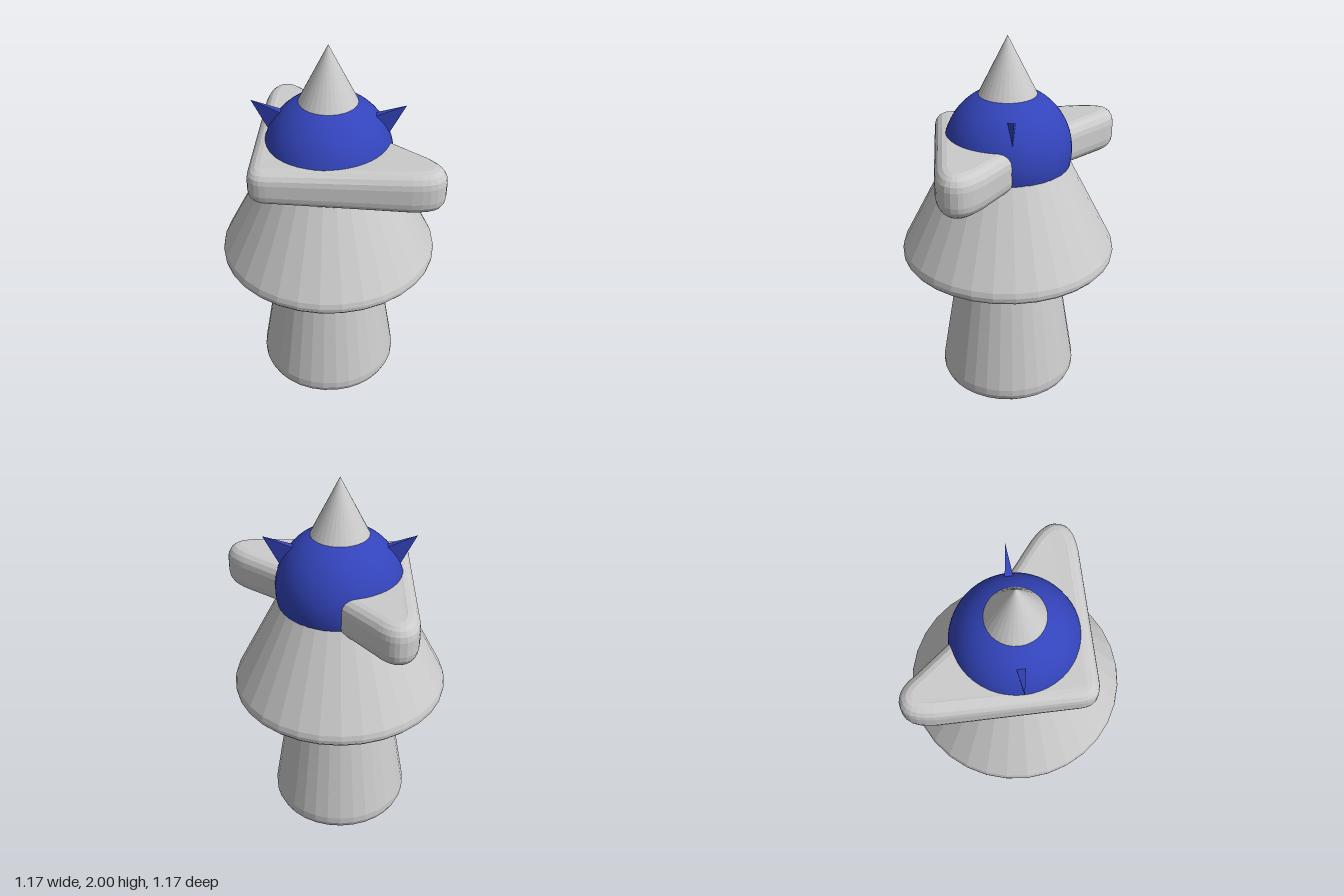
import * as THREE from 'three';
import { ConvexGeometry } from 'three/addons/geometries/ConvexGeometry.js';

const grey = new THREE.MeshStandardMaterial({ color: 0xcccccc, flatShading: true });
const blue = new THREE.MeshStandardMaterial({ color: 0x3344bb });
const blueFlat = new THREE.MeshStandardMaterial({ color: 0x3344bb, flatShading: true });

const AXIS_X = -0.012, AXIS_Z = 0.01;

function add(parent, name, geometry, material) {
  const mesh = new THREE.Mesh(geometry, material);
  mesh.name = name;
  parent.add(mesh);
  return mesh;
}

// Turned part from [radius, height] pairs, bottom to top
function turned(profile) {
  return new THREE.LatheGeometry(profile.map(([r, y]) => new THREE.Vector2(r, y)), 32);
}

// Triangular collar with two long rounded corners, drawn in plan (shape y = -z)
function collarGeometry() {
  const s = new THREE.Shape();
  s.moveTo(-0.39, -0.29);
  s.quadraticCurveTo(-0.39, -0.39, -0.29, -0.39);
  s.lineTo(0.42, -0.39);
  s.bezierCurveTo(0.52, -0.385, 0.585, -0.36, 0.587, -0.28);
  s.bezierCurveTo(0.585, -0.23, 0.54, -0.185, 0.5, -0.15);
  s.lineTo(0.33, -0.02);
  s.quadraticCurveTo(0.15, 0.13, -0.02, 0.33);
  s.lineTo(-0.16, 0.5);
  s.bezierCurveTo(-0.19, 0.545, -0.23, 0.585, -0.28, 0.587);
  s.bezierCurveTo(-0.36, 0.585, -0.385, 0.52, -0.39, 0.42);
  s.closePath();
  const bevel = 0.065;
  const g = new THREE.ExtrudeGeometry(s, {
    depth: 0.2 - 2 * bevel, bevelThickness: bevel, bevelSize: bevel,
    bevelOffset: -bevel, bevelSegments: 4, curveSegments: 6,
  });
  g.translate(0, 0, bevel - 0.1);
  g.rotateX(-Math.PI / 2);
  // Thicken towards the two long corners
  const p = g.attributes.position;
  for (let i = 0; i < p.count; i++) {
    const reach = THREE.MathUtils.clamp(Math.max(p.getX(i), -p.getZ(i)) / 0.4, 0, 1);
    p.setY(i, p.getY(i) * (0.95 + 0.18 * reach) + 1.393);
  }
  g.computeVertexNormals();
  return g;
}

export function createModel() {
  const model = new THREE.Group();
  model.name = 'figure';

  const core = new THREE.Group();
  core.name = 'core';
  core.position.set(AXIS_X, 0, AXIS_Z);
  model.add(core);

  // Tapered stem with a rounded foot
  add(core, 'stem', turned([
    [0, 0], [0.3, 0], [0.335, 0.01], [0.36, 0.032], [0.373, 0.062],
    [0.374, 0.1], [0.262, 0.8], [0, 0.8],
  ]), grey);

  // Flared skirt with a rounded hem
  add(core, 'skirt', turned([
    [0, 0.785], [0.53, 0.785], [0.556, 0.793], [0.571, 0.811],
    [0.574, 0.832], [0.568, 0.86], [0.325, 1.332], [0, 1.332],
  ]), grey);

  // Round head
  add(core, 'head', new THREE.SphereGeometry(0.335, 48, 32), blue).position.y = 1.4;

  // Pointed cap
  add(core, 'cap', new THREE.ConeGeometry(0.151, 0.3, 32), grey).position.y = 1.85;

  // Thin three-sided horns
  for (const side of [-1, 1]) {
    const points = [
      [0.389, 1.687, 0], [0.237, 1.632, 0.021], [0.237, 1.632, -0.021], [0.305, 1.525, 0],
    ].map(([x, y, z]) => new THREE.Vector3(side * x, y, z - 0.002));
    add(core, side > 0 ? 'leftHorn' : 'rightHorn', new ConvexGeometry(points), blueFlat);
  }

  add(model, 'collar', collarGeometry(), grey);
  return model;
}
